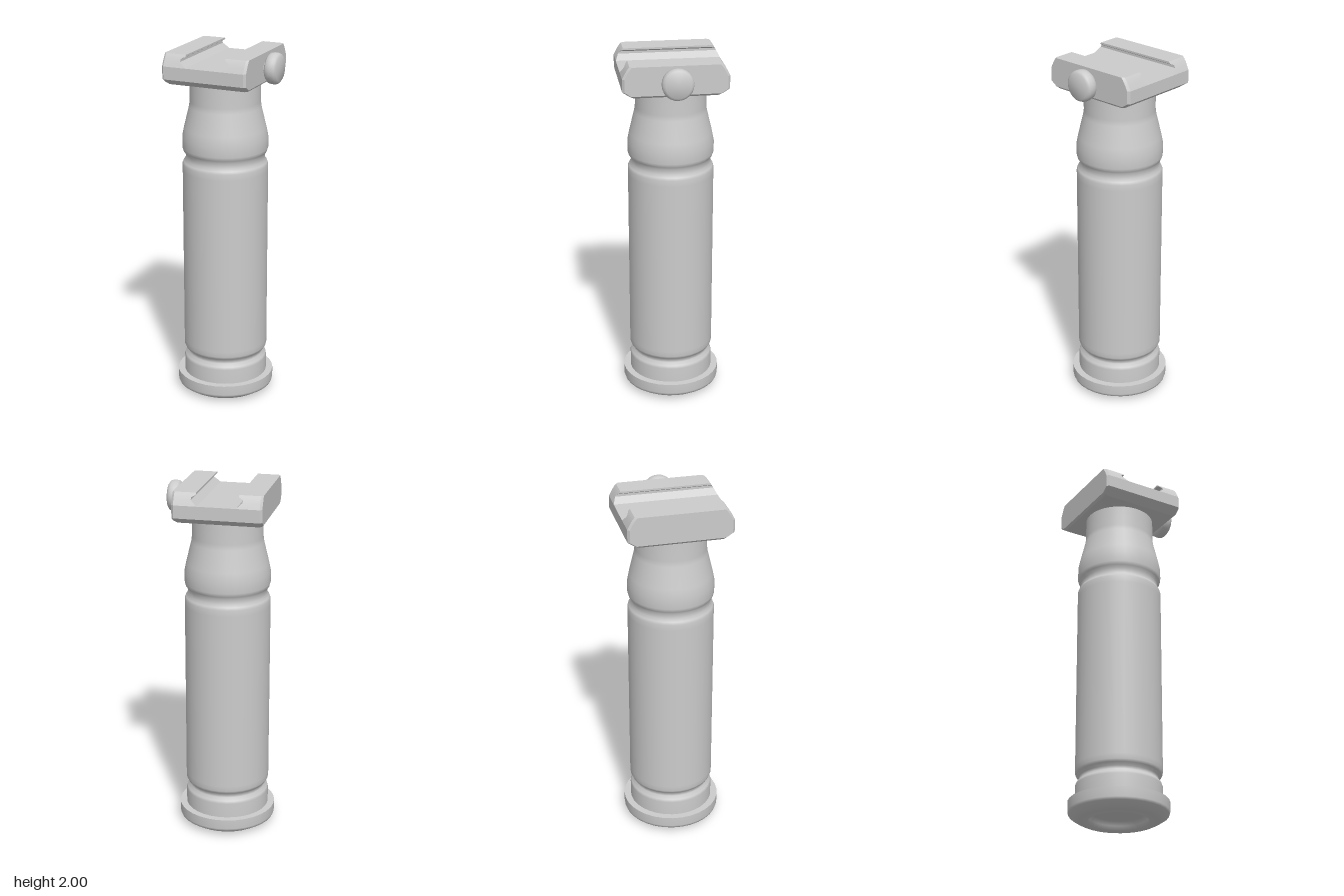
import * as THREE from 'three';
import { toCreasedNormals } from 'three/addons/utils/BufferGeometryUtils.js';

const AXIS_X = -0.025; // the grip stands slightly off centre to make room for the knob
const material = new THREE.MeshStandardMaterial({ color: 0xcccccc });

function addMesh(parent, name, geometry) {
  const mesh = new THREE.Mesh(geometry, material);
  mesh.name = name;
  parent.add(mesh);
  return mesh;
}

// Turned part from [radius, height] pairs, listed bottom to top
function turned(profile, segments = 32) {
  return new THREE.LatheGeometry(profile.map(([r, y]) => new THREE.Vector2(r, y)), segments);
}

// Block lofted through rectangles [y, x0, x1, half depth]; c0 and c1 chamfer the corners at x0 and x1
function loftedBlock(sections, c0, c1) {
  const rings = sections.map(([y, x0, x1, z]) => [
    [x0 + c0, y, z], [x1 - c1, y, z], [x1, y, z - c1], [x1, y, -z + c1],
    [x1 - c1, y, -z], [x0 + c0, y, -z], [x0, y, -z + c0], [x0, y, z - c0],
  ]);
  const n = 8;
  const positions = rings.flat(2);
  const index = [];
  for (let r = 0; r < rings.length - 1; r++) {
    for (let i = 0; i < n; i++) {
      const a = r * n + i, b = r * n + (i + 1) % n;
      index.push(a, b, b + n, a, b + n, a + n);
    }
  }
  const top = (rings.length - 1) * n;
  for (let i = 1; i < n - 1; i++) {
    index.push(0, i + 1, i);
    index.push(top, top + i, top + i + 1);
  }
  const geometry = new THREE.BufferGeometry();
  geometry.setAttribute('position', new THREE.Float32BufferAttribute(positions, 3));
  geometry.setIndex(index);
  return toCreasedNormals(geometry, 0.6);
}

export function createModel() {
  const model = new THREE.Group();
  model.name = 'verticalGrip';

  // Grip column: handle, grooves and tapered neck
  const handle = new THREE.Group();
  handle.name = 'handle';
  handle.position.x = AXIS_X;
  model.add(handle);
  addMesh(handle, 'column', turned([
    [0.237, 0.09], [0.237, 0.19], [0.232, 0.205], [0.216, 0.222], [0.216, 0.24],
    [0.232, 0.255], [0.238, 0.27], [0.238, 0.3], [0.238, 1.32], [0.238, 1.355],
    [0.232, 1.37], [0.22, 1.385], [0.22, 1.415], [0.232, 1.43], [0.238, 1.45],
    [0.238, 1.51], [0.228, 1.56], [0.199, 1.68], [0.195, 1.71], [0.195, 1.84],
  ]));

  // End cap with a shallow recess underneath
  addMesh(handle, 'endCap', turned([
    [0, 0.045], [0.14, 0.045], [0.16, 0.025], [0.165, 0], [0.21, 0],
    [0.235, 0.012], [0.27, 0.035], [0.275, 0.05], [0.275, 0.105],
  ]));
  addMesh(handle, 'endCapTop', turned([[0.275, 0.105], [0.2, 0.105]]));

  // Rail clamp: bed plus two undercut jaws
  const clamp = new THREE.Group();
  clamp.name = 'railClamp';
  model.add(clamp);
  addMesh(clamp, 'clampBed', loftedBlock([
    [1.83, -0.256, 0.206, 0.235], [1.842, -0.268, 0.218, 0.25],
    [1.865, -0.268, 0.218, 0.285], [1.935, -0.268, 0.218, 0.285],
  ], 0.012, 0.012));
  const jawSections = [ // [y, inner distance from the axis, half depth]
    [1.935, 0.105, 0.285], [1.965, 0.138, 0.27], [1.978, 0.138, 0.262],
    [1.99, 0.115, 0.254], [2.0, 0.115, 0.245],
  ];
  addMesh(clamp, 'rightJaw', loftedBlock(
    jawSections.map(([y, d, z]) => [y, -0.268, AXIS_X - d, z]), 0.012, 0));
  addMesh(clamp, 'leftJaw', loftedBlock(
    jawSections.map(([y, d, z]) => [y, AXIS_X + d, 0.218, z]), 0, 0.012));

  // Clamp screw on the left side, turned along x
  const screw = new THREE.Group();
  screw.name = 'clampScrew';
  screw.position.set(0.21, 1.915, 0);
  screw.rotation.z = -Math.PI / 2;
  model.add(screw);
  addMesh(screw, 'screwShaft', turned([[0.045, 0], [0.045, 0.03]], 20));
  addMesh(screw, 'knob', toCreasedNormals(turned([
    [0, 0.021], [0.07, 0.021], [0.083, 0.034], [0.085, 0.05], [0.085, 0.068],
    [0.08, 0.08], [0.068, 0.088], [0, 0.09],
  ], 24), 0.9));

  return model;
}
